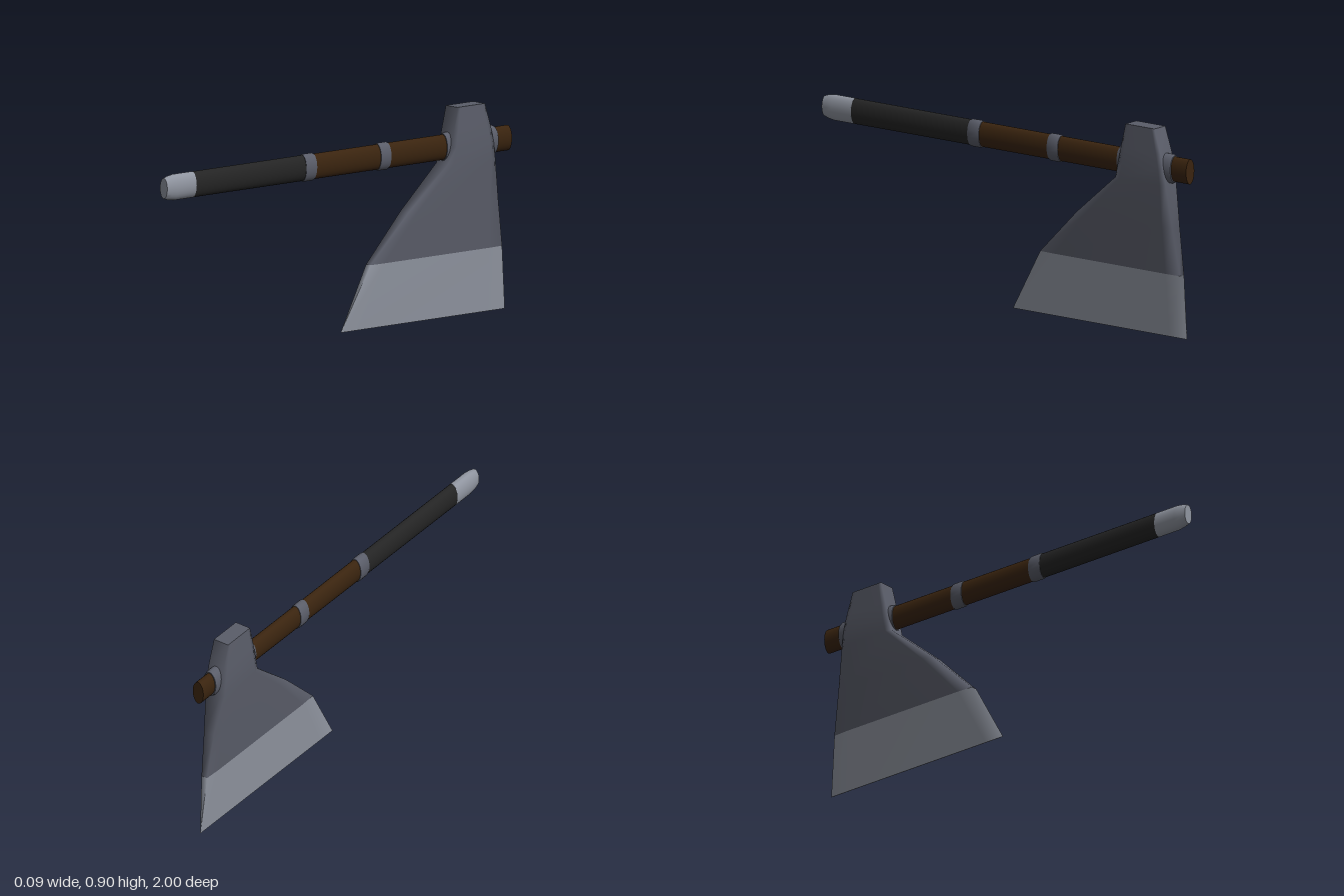
import * as THREE from 'three';
import { toCreasedNormals } from 'three/addons/utils/BufferGeometryUtils.js';

const paint = (name, color) => {
  const m = new THREE.MeshStandardMaterial({ color });
  m.name = name;
  return m;
};

const AXIS_Y = 0.735; // height of the haft

// Oval turned part along z: profile is a list of [z, scale], back to front
function ovalPart(name, profile, rx, ry, material) {
  const zs = profile.map(p => p[0]);
  const pts = profile.map(([z, s]) => new THREE.Vector2(s, z));
  pts.unshift(new THREE.Vector2(0, zs[0]));
  pts.push(new THREE.Vector2(0, zs[zs.length - 1]));
  let g = new THREE.LatheGeometry(pts, 24);
  g.rotateX(Math.PI / 2);
  g.scale(rx, ry, 1);
  g = toCreasedNormals(g, 0.6);
  const mesh = new THREE.Mesh(g, material);
  mesh.name = name;
  mesh.position.y = AXIS_Y;
  return mesh;
}

// Head sections, bottom to top: y, front z, back z, half width, corner ratio
const sections = [
  [0, -0.03, -0.983, 0.001, 1],
  [0.275, -0.19, -0.955, 0.018, 0.8],
  [0.48, -0.4, -0.922, 0.032, 0.8],
  [0.665, -0.62, -0.895, 0.044, 0.82],
  [0.735, -0.637, -0.884, 0.045, 0.85],
  [0.8, -0.651, -0.868, 0.043, 0.9],
  [0.905, -0.676, -0.834, 0.037, 1],
];

// Eight points round one section, counter-clockwise seen from above
function ring([y, zf, zb, w, k]) {
  const d = (zf - zb) * 0.1;
  const right = [[w * k, zf], [w, zf - d], [w, zb + d], [w * k, zb]];
  const left = right.map(([x, z]) => [-x, z]).reverse();
  return [...right, ...left].map(([x, z]) => [x, y, z]);
}

// Smooth walls joining the sections
function loft(name, rows, material) {
  const pos = [], idx = [], n = 8;
  rows.forEach(r => ring(r).forEach(p => pos.push(...p)));
  for (let i = 0; i < rows.length - 1; i++) {
    for (let j = 0; j < n; j++) {
      const a = i * n + j, b = i * n + (j + 1) % n;
      idx.push(a, b, b + n, a, b + n, a + n);
    }
  }
  const g = new THREE.BufferGeometry();
  g.setAttribute('position', new THREE.Float32BufferAttribute(pos, 3));
  g.setIndex(idx);
  g.computeVertexNormals();
  const mesh = new THREE.Mesh(g, material);
  mesh.name = name;
  return mesh;
}

// Flat lid over a section
function lid(name, row, up, material) {
  const idx = [];
  for (let j = 1; j < 7; j++) idx.push(0, ...(up ? [j, j + 1] : [j + 1, j]));
  const g = new THREE.BufferGeometry();
  g.setAttribute('position', new THREE.Float32BufferAttribute(ring(row).flat(), 3));
  g.setIndex(idx);
  g.computeVertexNormals();
  const mesh = new THREE.Mesh(g, material);
  mesh.name = name;
  return mesh;
}

export function createModel() {
  const steel = paint('dark steel', 0x5a5d69);
  const edge = paint('bright steel', 0x9095a0);
  const wood = paint('dark wood', 0x3a240f);
  const leather = paint('black grip', 0x242424);

  const axe = new THREE.Group();
  axe.name = 'axe';

  // Head
  const head = new THREE.Group();
  head.name = 'head';
  head.add(
    loft('cheek', sections.slice(1), steel),
    lid('poll', sections[sections.length - 1], true, steel),
    loft('cuttingBevel', sections.slice(0, 2), edge),
    lid('cuttingEdge', sections[0], false, edge),
  );
  axe.add(head);

  // Haft, grip and pommel
  axe.add(
    ovalPart('haft', [[-1, 1], [0.17, 1]], 0.028, 0.055, wood),
    ovalPart('grip', [[0.15, 1], [0.84, 1]], 0.029, 0.056, leather),
    ovalPart('pommel', [[0.835, 1], [0.945, 1], [0.975, 0.92], [1, 0.78]], 0.0295, 0.0565, edge),
  );

  // Bands on the haft
  [[0.135, 0.197], [-0.297, -0.238]].forEach(([a, b]) => {
    axe.add(ovalPart('band', [[a, 0.96], [a + 0.006, 1], [b - 0.006, 1], [b, 0.96]], 0.032, 0.06, steel));
  });

  // Collars where the haft passes through the head
  axe.add(
    ovalPart('frontCollar', [[-0.68, 1], [-0.632, 1], [-0.622, 0.93]], 0.034, 0.063, steel),
    ovalPart('backCollar', [[-0.917, 0.93], [-0.907, 1], [-0.85, 1]], 0.036, 0.064, steel),
  );
  return axe;
}
